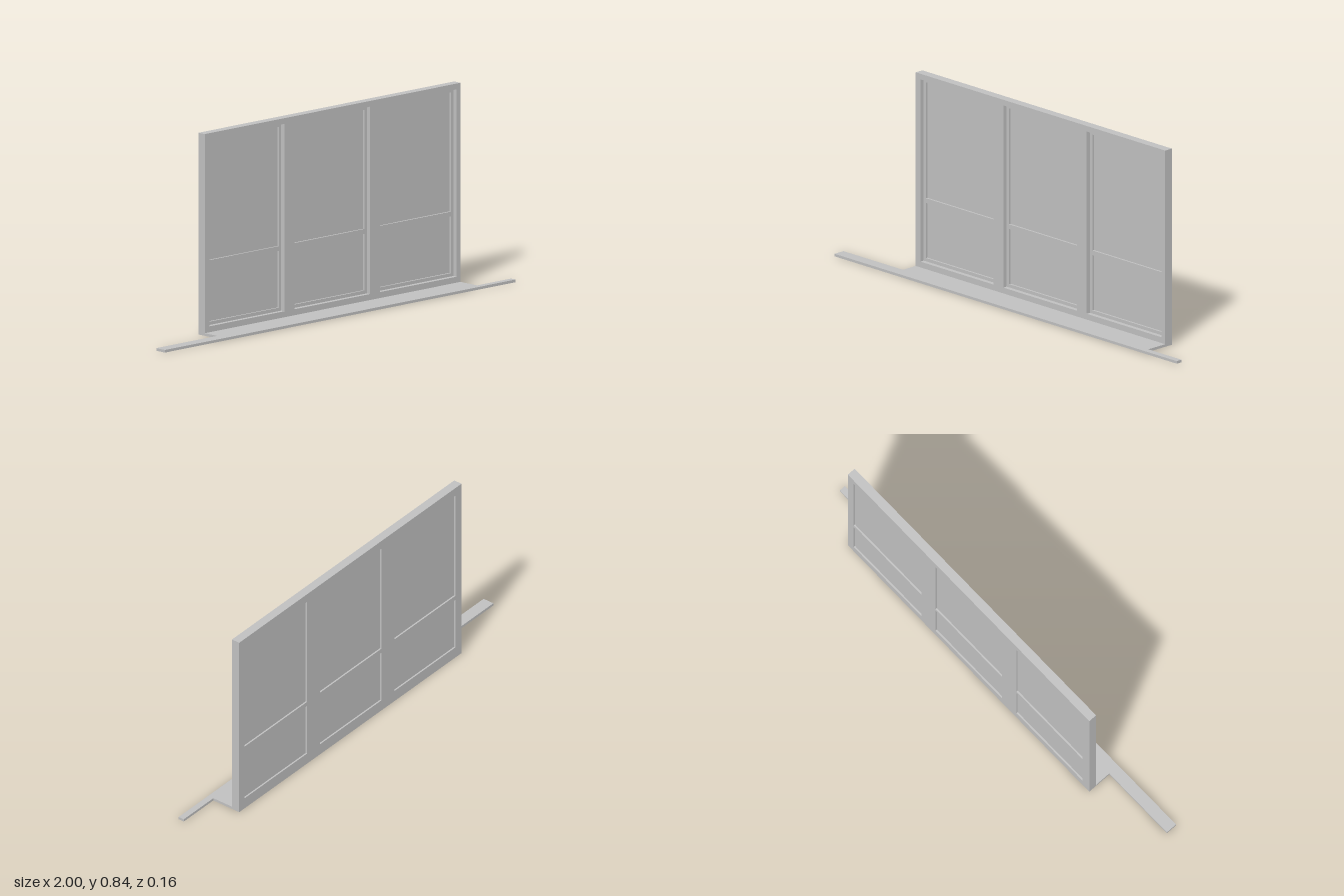
import * as THREE from 'three';

const LEFT = -0.652, RIGHT = 0.806, TOP = 0.843;
const BACK = -0.081, FRONT = -0.043, STEP = -0.062;
const BAYS = [[-0.625, -0.198], [-0.14, 0.29], [0.347, 0.784]];
const SILL = 0.036, HEAD = 0.819, INSET = 0.014;
const RAIL = [0.287, 0.307];

function rectangle(target, x0, y0, x1, y1) {
  target.moveTo(x0, y0);
  target.lineTo(x1, y0);
  target.lineTo(x1, y1);
  target.lineTo(x0, y1);
  target.closePath();
  return target;
}

// Flat panel with rectangular openings, between two depths
function panel(name, openings, z0, z1, material) {
  const shape = rectangle(new THREE.Shape(), LEFT, 0, RIGHT, TOP);
  for (const o of openings) shape.holes.push(rectangle(new THREE.Path(), ...o));
  const geometry = new THREE.ExtrudeGeometry(shape, { depth: z1 - z0, bevelEnabled: false });
  geometry.translate(0, 0, z0);
  const mesh = new THREE.Mesh(geometry, material);
  mesh.name = name;
  return mesh;
}

export function createModel() {
  const model = new THREE.Group();
  model.name = 'windowUnit';
  const grey = new THREE.MeshStandardMaterial({ color: 0xc0c0c0 });
  grey.name = 'lightGrey';

  // Outer frame with three bays, then the narrower sashes split by a rail
  const bays = BAYS.map(([a, b]) => [a, SILL, b, HEAD]);
  const lights = BAYS.flatMap(([a, b]) => [
    [a + INSET, SILL + INSET, b - INSET, RAIL[0]],
    [a + INSET, RAIL[1], b - INSET, HEAD - INSET],
  ]);
  model.add(panel('frontFrame', bays, STEP, FRONT, grey));
  model.add(panel('sashes', lights, BACK, STEP, grey));

  // Panes set in the middle of the sashes
  for (const [x0, y0, x1, y1] of lights) {
    const pane = new THREE.Mesh(new THREE.BoxGeometry(x1 - x0, y1 - y0, 0.004), grey);
    pane.position.set((x0 + x1) / 2, (y0 + y1) / 2, -0.072);
    pane.name = 'pane';
    model.add(pane);
  }

  // Sill board with a narrow horn at each end
  const outline = [[-1, 0.03], [LEFT, 0.03], [LEFT, FRONT], [RIGHT, FRONT],
    [RIGHT, 0.054], [1, 0.054], [1, 0.081], [-1, 0.081]];
  const board = new THREE.Shape(outline.map(([x, z]) => new THREE.Vector2(x, -z)));
  const geometry = new THREE.ExtrudeGeometry(board, { depth: 0.011, bevelEnabled: false });
  geometry.rotateX(-Math.PI / 2);
  const sill = new THREE.Mesh(geometry, grey);
  sill.name = 'sillBoard';
  model.add(sill);

  return model;
}
